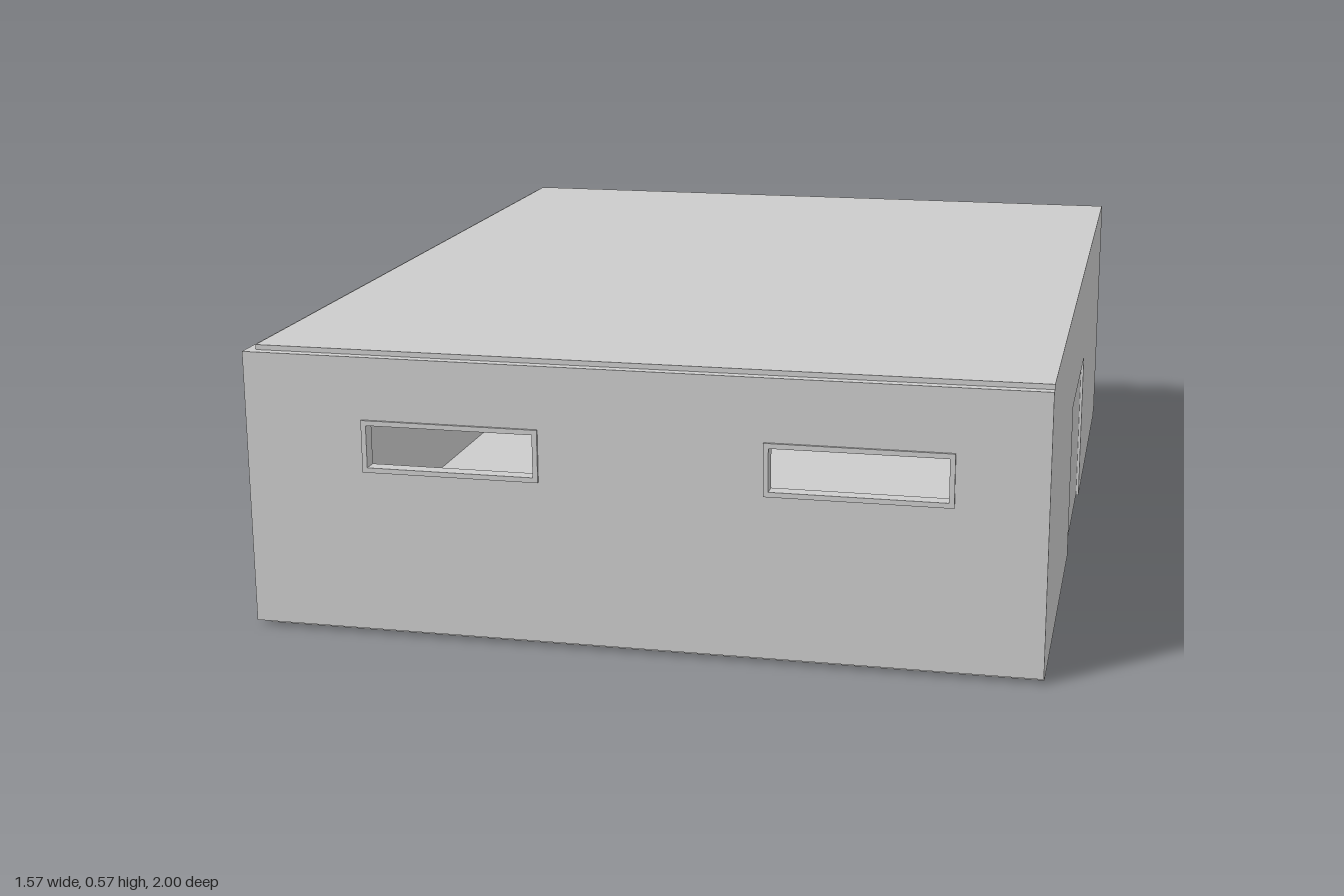
import * as THREE from 'three';

const material = new THREE.MeshStandardMaterial({ color: 0xcccccc, flatShading: true });
const WINDOWS = [[-0.535, -0.2], [0.26, 0.6]];
const SILL = 0.345, HEAD = 0.43;

function add(parent, name, geometry, x = 0, y = 0, z = 0) {
  const mesh = new THREE.Mesh(geometry, material);
  mesh.name = name;
  mesh.position.set(x, y, z);
  parent.add(mesh);
  return mesh;
}

// Box given by its limits on each axis
function block(parent, name, [x0, x1], [y0, y1], [z0, z1]) {
  return add(parent, name, new THREE.BoxGeometry(x1 - x0, y1 - y0, z1 - z0),
    (x0 + x1) / 2, (y0 + y1) / 2, (z0 + z1) / 2);
}

const polygon = (points) => new THREE.Shape(points.map(([x, y]) => new THREE.Vector2(x, y)));
const rect = (x0, x1, y0, y1) => polygon([[x0, y0], [x1, y0], [x1, y1], [x0, y1]]);
const extrude = (shape, depth) =>
  new THREE.ExtrudeGeometry(shape, { depth, bevelEnabled: false, curveSegments: 12 });

// End wall with two window openings, each with a slightly raised frame
function endWall(name) {
  const group = new THREE.Group();
  group.name = name;
  const wall = rect(-0.785, 0.785, 0.01, 0.565);
  for (const [a, b] of WINDOWS) {
    wall.holes.push(rect(a, b, SILL, HEAD));
    const frame = rect(a - 0.01, b + 0.01, SILL - 0.01, HEAD + 0.01);
    frame.holes.push(rect(a, b, SILL, HEAD));
    add(group, 'windowFrame', extrude(frame, 0.005), 0, 0, 0.995);
  }
  add(group, 'windowWall', extrude(wall, 0.025), 0, 0, 0.97);
  return group;
}

// Hollow round post
function boss(parent, x, z, height) {
  const r = 0.05, bore = 0.028;
  const profile = [[bore, 0], [r, 0], [r, height], [bore, height], [bore, 0]]
    .map(([px, py]) => new THREE.Vector2(px, py));
  add(parent, 'screwBoss', new THREE.LatheGeometry(profile, 24), x, 0.025, z);
}

export function createModel() {
  const model = new THREE.Group();
  model.name = 'enclosure';

  // End walls; the back one is mirrored through z so its windows line up
  model.add(endWall('frontWall'));
  const back = endWall('backWall');
  back.traverse((part) => {
    if (!part.isMesh) return;
    const depth = part.name === 'windowWall' ? 0.025 : 0.005;
    part.position.z = -part.position.z - depth;
  });
  model.add(back);

  // Base and lid stand proud of the walls and are set in from the edges
  block(model, 'base', [-0.765, 0.775], [0, 0.025], [-0.975, 0.975]);
  block(model, 'lid', [-0.765, 0.775], [0.55, 0.575], [-0.975, 0.975]);
  block(model, 'rightWall', [-0.785, -0.76], [0.01, 0.565], [-0.97, 0.97]);

  // Left wall: inner sheet, and an outer skin with a shallow panel recess
  const corners = [[0.975, 0], [0.975, 0.01], [0.995, 0.01], [0.995, 0.565],
    [0.975, 0.565], [0.975, 0.575], [-0.975, 0.575], [-0.975, 0.565],
    [-0.995, 0.565], [-0.995, 0.01], [-0.975, 0.01], [-0.975, 0]];
  const recess = [[-0.236, 0], [-0.236, 0.34], [0.22, 0.34], [0.22, 0]];
  const sheets = [
    ['leftWall', polygon(corners), 0.019, 0.76],
    ['leftWallSkin', polygon([...corners, ...recess]), 0.006, 0.779],
  ];
  for (const [name, shape, depth, x] of sheets) {
    add(model, name, extrude(shape, depth), x).rotation.y = Math.PI / 2;
  }

  // Inside: centre post, hollow bosses and short corner posts
  block(model, 'centrePost', [-0.33, -0.295], [0.025, 0.55], [0.08, 0.115]);
  boss(model, -0.08, -0.59, 0.14);
  block(model, 'shortPost', [0.27, 0.31], [0.025, 0.19], [0.58, 0.62]);
  block(model, 'shortPost', [0.65, 0.69], [0.025, 0.19], [-0.61, -0.57]);

  // Blocks hanging from the lid with an arched underside
  for (const x of [0.462, -0.535]) {
    const hanger = new THREE.Shape();
    hanger.moveTo(-0.047, 0.417);
    hanger.quadraticCurveTo(0, 0.433, 0.047, 0.417);
    hanger.lineTo(0.047, 0.55);
    hanger.lineTo(-0.047, 0.55);
    add(model, 'archedHanger', extrude(hanger, 0.04), x, 0, 0);
  }
  return model;
}
